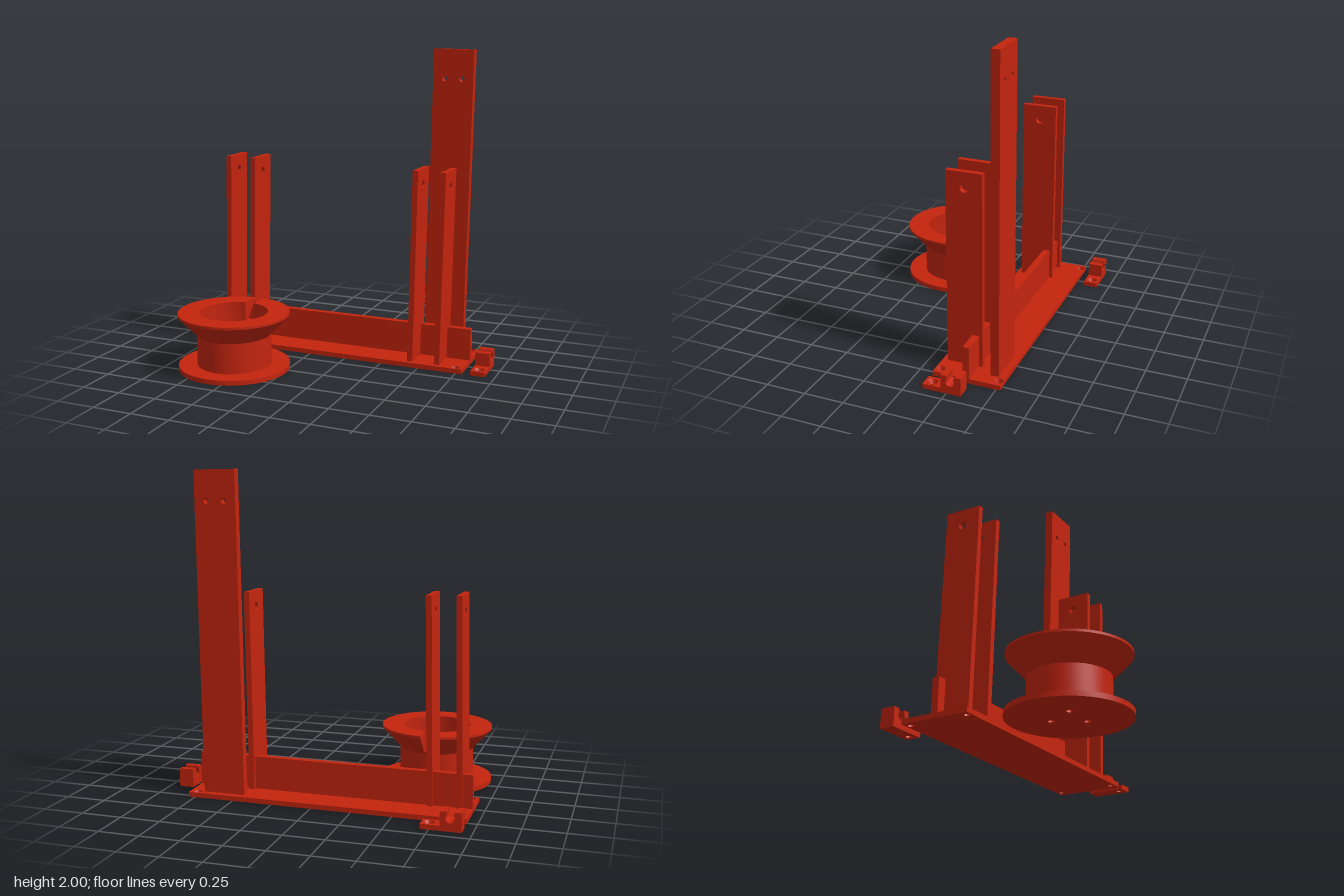
import * as THREE from 'three';
import { toCreasedNormals } from 'three/addons/utils/BufferGeometryUtils.js';

const red = new THREE.MeshStandardMaterial({ color: 0xc4240e, side: THREE.DoubleSide });
red.name = 'red plastic';
const TILT = -Math.PI / 180;
const THICK = 0.03;

function mesh(name, geometry, parent) {
  const m = new THREE.Mesh(toCreasedNormals(geometry, 0.5), red);
  m.name = name;
  parent.add(m);
  return m;
}

function box(name, [x0, x1], [y0, y1], [z0, z1], parent) {
  const g = new THREE.BoxGeometry(x1 - x0, y1 - y0, z1 - z0);
  g.translate((x0 + x1) / 2, (y0 + y1) / 2, (z0 + z1) / 2);
  return mesh(name, g, parent);
}

function rectangle(x0, y0, x1, y1) {
  return new THREE.Shape([[x0, y0], [x1, y0], [x1, y1], [x0, y1]].map(p => new THREE.Vector2(...p)));
}

function drill(shape, holes, radius) {
  for (const [x, y] of holes) shape.holes.push(new THREE.Path().absarc(x, y, radius, 0, Math.PI * 2, true));
  return shape;
}

function extrude(shape, depth, curveSegments = 32) {
  return new THREE.ExtrudeGeometry(shape, { depth, curveSegments, bevelEnabled: false });
}

// Flat plate with screw holes that narrow towards the underside; holes are [x, z]
function screwPlate(name, shape, holes, rim, bore, parent) {
  const flipped = holes.map(([x, z]) => [x, -z]);
  const g = extrude(drill(shape, flipped, rim), THICK, 40);
  const p = g.attributes.position;
  for (let i = 0; i < p.count; i++) {
    if (p.getZ(i) > THICK / 2) continue;
    for (const [cx, cy] of flipped) {
      const dx = p.getX(i) - cx, dy = p.getY(i) - cy;
      if (Math.hypot(dx, dy) < rim * 1.01) p.setXY(i, cx + dx * bore / rim, cy + dy * bore / rim);
    }
  }
  g.rotateX(-Math.PI / 2);
  return mesh(name, g, parent);
}

// Upright panel standing on its local origin, drilled through its thickness
function panel(name, width, height, thickness, holes, radius, parent) {
  const g = extrude(drill(rectangle(-width / 2, 0, width / 2, height), holes, radius), thickness);
  g.translate(0, 0, -thickness / 2);
  return { geometry: g, place: (x, y, z) => {
    const m = mesh(name, g, parent);
    m.position.set(x, y, z);
    m.rotation.z = TILT;
  } };
}

function createStand() {
  const stand = new THREE.Group();
  stand.name = 'stand';
  const corners = [-0.895, 0.741].flatMap(x => [-0.495, -0.128].map(z => [x, z]));
  screwPlate('basePlate', rectangle(-0.94, 0.098, 0.79, 0.525), corners, 0.029, 0.018, stand);
  box('stiffeningRib', [-0.94, 0.79], [THICK, 0.235], [-0.333, -0.29], stand);

  // Two pairs of leaning axle supports
  for (const x of [-0.867, -0.688, 0.438, 0.617]) {
    const height = 1.271 + TILT * (x + 0.867);
    const support = panel('axleSupport', 0.225, height, 0.035, [[0, height - 0.1]], 0.025, stand);
    support.geometry.rotateY(Math.PI / 2);
    support.place(x, 0.015, -0.2425);
  }

  // Tall back post with two holes
  panel('tallPost', 0.262, 1.985, 0.054, [[-0.056, 1.8], [0.056, 1.8]], 0.017, stand)
    .place(0.569, 0.0135, -0.457);
  return stand;
}

function createSpool() {
  const spool = new THREE.Group();
  spool.name = 'spool';
  const floor = new THREE.Shape().absarc(0, 0, 0.353, 0, Math.PI * 2);
  const screws = [0, 1, 2].map(i => {
    const a = i * Math.PI * 2 / 3;
    return [0.113 * Math.sin(a), -0.113 * Math.cos(a)];
  });
  screwPlate('bottomFlange', floor, screws, 0.033, 0.018, spool);

  const points = list => list.map(p => new THREE.Vector2(...p));
  const segments = 80;
  mesh('hub', new THREE.LatheGeometry(points([
    [0.235, THICK], [0.235, 0.225], [0.254, 0.245], [0.215, 0.245], [0.215, THICK],
  ]), segments), spool);

  // Flared collar, opened by a parallel-sided slot at the back
  const half = 0.03;
  const profile = points([[0.254, 0.245], [0.353, 0.35], [0.353, 0.365], [0.215, 0.365], [0.215, 0.245]]);
  const collar = new THREE.LatheGeometry(profile, segments);
  const pos = collar.attributes.position;
  for (let i = 0; i < pos.count; i++) {
    const { x: r, y } = profile[i % profile.length];
    const gap = Math.asin(half / r);
    const t = Math.floor(i / profile.length) / segments;
    const a = Math.PI + gap + t * (Math.PI * 2 - 2 * gap);
    pos.setXYZ(i, r * Math.sin(a), y, r * Math.cos(a));
  }
  mesh('flaredCollar', collar, spool);

  // Slot walls
  for (const side of [-1, 1]) {
    const wall = new THREE.ShapeGeometry(new THREE.Shape(
      profile.map(p => new THREE.Vector2(Math.sqrt(p.x ** 2 - half ** 2), p.y))));
    wall.rotateY(Math.PI / 2);
    wall.translate(side * half, 0, 0);
    // Turn the faces into the slot
    if (side > 0) wall.index.array.reverse();
    mesh('slotWall', wall, spool);
  }
  spool.position.set(-0.587, 0, 0.315);
  return spool;
}

// Small screw-down clip: runs along local +x from its snap jaw to its screw tab
function createClip() {
  const clip = new THREE.Group();
  clip.name = 'clip';
  screwPlate('clipFoot', rectangle(0, -0.046, 0.24, 0.046), [[0.195, 0]], 0.033, 0.018, clip);
  const jaw = new THREE.Shape();
  const r = 0.028, neck = 0.02, cx = 0.066, cy = 0.077;
  const a = Math.acos(neck / r);
  jaw.moveTo(0, THICK);
  jaw.lineTo(0.125, THICK);
  jaw.lineTo(0.125, 0.115);
  jaw.lineTo(cx + neck, 0.115);
  jaw.absarc(cx, cy, r, a, Math.PI - a, true);
  jaw.lineTo(cx - neck - 0.008, 0.115);
  jaw.lineTo(0, 0.115);
  jaw.closePath();
  const g = extrude(jaw, 0.092);
  g.translate(0, 0, -0.046);
  mesh('snapJaw', g, clip);
  return clip;
}

export function createModel() {
  const model = new THREE.Group();
  model.name = 'spoolHolderKit';
  const backClip = createClip();
  backClip.position.set(-0.94, 0, -0.627);
  const sideClip = createClip();
  sideClip.rotation.y = -Math.PI / 2;
  sideClip.position.set(0.892, 0, -0.34);
  model.add(createStand(), createSpool(), backClip, sideClip);
  return model;
}
